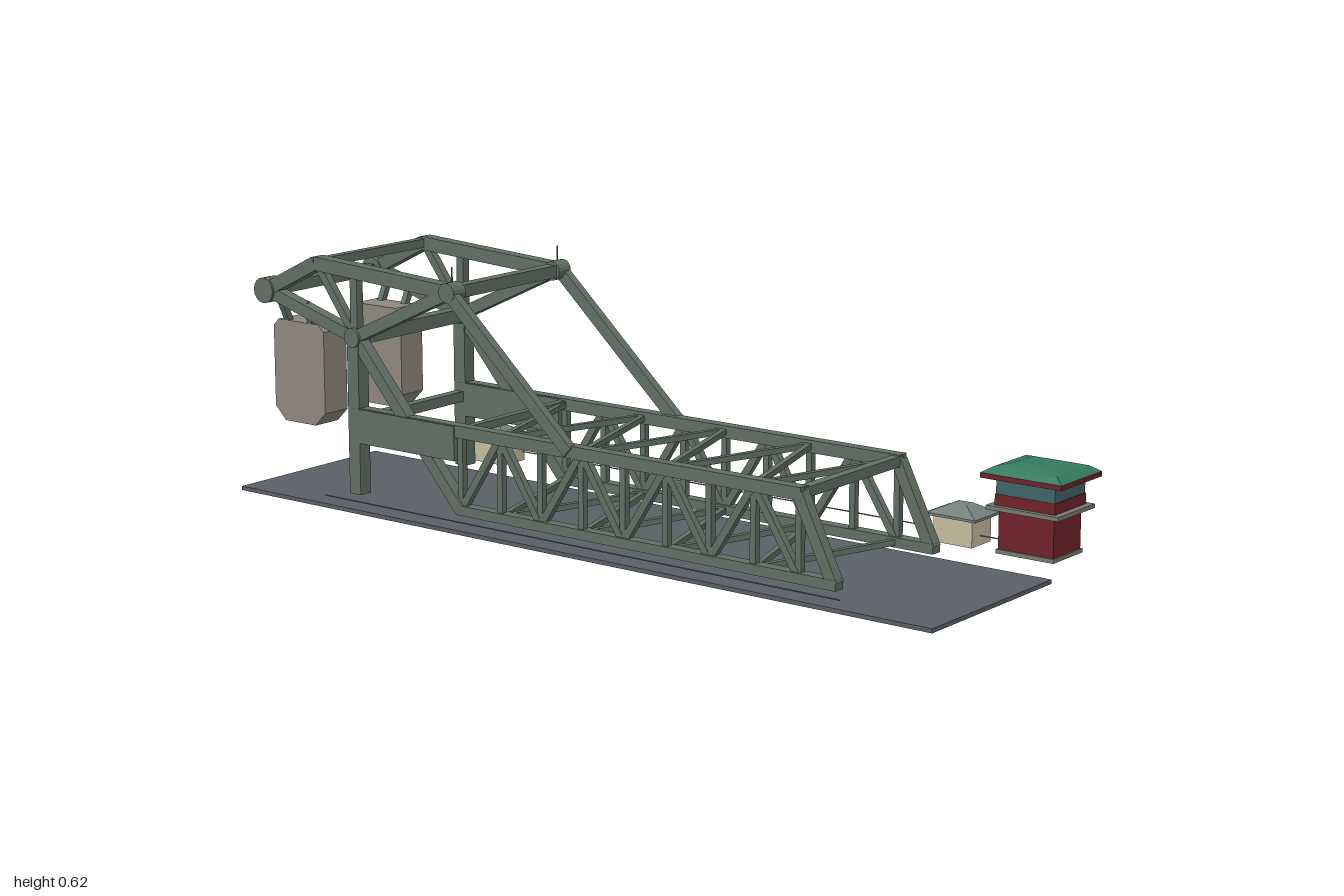
import * as THREE from 'three';

const mat = (color) => new THREE.MeshStandardMaterial({ color, flatShading: true });
const steel = mat(0x616f64), asphalt = mat(0x5a5f66), concrete = mat(0x8f877c), red = mat(0x6e2228);
const copper = mat(0x34795f), glass = mat(0x3f6468), plaster = mat(0xc6bc9e), slate = mat(0x73807a), trim = mat(0x777a70);

const V = (x, y, z) => new THREE.Vector3(x, y, z);

function add(parent, name, geometry, material, x = 0, y = 0, z = 0) {
  const m = new THREE.Mesh(geometry, material);
  m.name = name;
  m.position.set(x, y, z);
  parent.add(m);
  return m;
}

// Box given by its bottom height and top height
function block(parent, name, material, x, z, length, width, y0, y1) {
  return add(parent, name, new THREE.BoxGeometry(length, y1 - y0, width), material, x, (y0 + y1) / 2, z);
}

// Straight steel member between two points
function beam(parent, name, a, b, h = 0.03, w = h) {
  const d = b.clone().sub(a), dir = d.clone().normalize();
  const ref = Math.abs(dir.y) > 0.99 ? V(1, 0, 0) : V(0, 1, 0);
  const side = dir.clone().cross(ref).normalize();
  const m = add(parent, name, new THREE.BoxGeometry(d.length(), h, w), steel);
  m.applyMatrix4(new THREE.Matrix4().makeBasis(dir, side.clone().cross(dir), side));
  m.position.copy(a).lerp(b, 0.5);
  return m;
}

// Hipped roof: four-sided frustum stretched to a rectangle
function hip(parent, name, material, x, z, length, width, y0, y1, top) {
  const g = new THREE.CylinderGeometry(Math.SQRT1_2 * top, Math.SQRT1_2, y1 - y0, 4, 1);
  g.rotateY(Math.PI / 4);
  g.scale(length, 1, width);
  return add(parent, name, g, material, x, (y0 + y1) / 2, z);
}

const MID = 0.027, HALF = 0.195;
const LOW = 0.03, HIGH = 0.222, START = -0.43, END = 0.555, PANELS = 8;
const step = (END - START) / PANELS;
// Joints of the lifting frame, as [along, height]
const A = [-1.06, 0.495], B = [-0.89, 0.58], C = [-0.455, 0.555], D = [-0.765, 0.41], E = [-0.09, HIGH];

function sideFrame(z, s) {
  const g = new THREE.Group();
  g.name = s > 0 ? 'rightSideFrame' : 'leftSideFrame';
  const p = (x, y) => V(x, y, z);
  const j = (q) => p(q[0], q[1]);

  // Span truss
  beam(g, 'topChord', p(-0.77, HIGH), p(END + 0.01, HIGH), 0.03);
  beam(g, 'bottomChord', p(START - 0.01, LOW), p(0.66, LOW), 0.024, 0.03);
  beam(g, 'endPost', p(END, HIGH), p(0.65, LOW), 0.028);
  for (let i = 0; i <= PANELS; i++) {
    const x = START + i * step;
    beam(g, 'webPost', p(x, LOW), p(x, HIGH), 0.016);
    if (i === PANELS) break;
    const up = i % 2 === 0;
    beam(g, 'webDiagonal', p(x, up ? LOW : HIGH), p(x + step, up ? HIGH : LOW), 0.018);
  }

  // Tower and plate girder
  block(g, 'towerColumn', steel, D[0], z, 0.036, 0.036, 0.02, 0.42);
  block(g, 'plateGirder', steel, -0.605, z, 0.33, 0.038, 0.15, 0.235);
  beam(g, 'towerBrace', j(D), p(START, LOW), 0.03);

  // Lifting frame
  beam(g, 'tailChord', j(A), j(B), 0.034);
  beam(g, 'upperChord', j(B), j(C), 0.034);
  beam(g, 'tailStrut', j(A), j(D), 0.03);
  beam(g, 'frontStrut', j(D), j(C), 0.03);
  beam(g, 'framePost', j(D), p(D[0], 0.572), 0.022);
  beam(g, 'frameDiagonal', j(D), j(B), 0.02);
  beam(g, 'operatingLink', V(C[0], C[1], z + s * 0.01), V(E[0], E[1], z + s * 0.01), 0.03, 0.022);
  for (const [q, r] of [[A, 0.032], [C, 0.024], [D, 0.024]]) {
    const pin = add(g, 'jointPin', new THREE.CylinderGeometry(r, r, 0.044, 16), steel, q[0], q[1], z);
    pin.rotation.x = Math.PI / 2;
  }
  add(g, 'lampMast', new THREE.CylinderGeometry(0.002, 0.002, 0.06, 6), steel, C[0], 0.585, z);

  // Counterweight with clipped corners, hung inside the frame
  const l = 0.085, h = 0.128, c = 0.034;
  const pts = [[-l + c, -h], [l - c, -h], [l, -h + c], [l, h - c / 2], [l - c / 2, h], [-l + c / 2, h], [-l, h - c / 2], [-l, -h + c]];
  const shape = new THREE.Shape(pts.map((q) => new THREE.Vector2(q[0], q[1])));
  const weight = new THREE.ExtrudeGeometry(shape, { depth: 0.08, bevelEnabled: false });
  add(g, 'counterweight', weight, concrete, -0.978, 0.292, z - s * 0.055 - 0.04);
  for (const x of [-1.02, -0.94]) beam(g, 'hanger', V(x, 0.41, z - s * 0.03), V(x, 0.475, z), 0.016);
  return g;
}

function hut(name, x, z) {
  const g = new THREE.Group();
  g.name = name;
  block(g, 'hutWalls', plaster, x, z, 0.105, 0.082, 0.02, 0.086);
  block(g, 'hutEaves', slate, x, z, 0.136, 0.107, 0.084, 0.09);
  hip(g, 'hutRoof', slate, x, z, 0.13, 0.102, 0.09, 0.112, 0.3);
  return g;
}

export function createModel() {
  const root = new THREE.Group();
  root.name = 'basculeBridge';
  const g = new THREE.Group();
  g.name = 'bridgeSite';
  g.rotation.y = -1.007;
  root.add(g);

  block(g, 'roadway', asphalt, -0.053, 0.081, 2.04, 0.486, 0, 0.01);

  // Two mirrored side frames
  for (const s of [1, -1]) g.add(sideFrame(MID + s * HALF, s));

  // Cross beams between the sides
  const cross = (name, x, y, t) => beam(g, name, V(x, y, MID - HALF), V(x, y, MID + HALF), t);
  cross('tailCrossBeam', A[0], A[1], 0.028);
  cross('upperCrossBeam', B[0], B[1], 0.022);
  cross('towerCrossBeam', D[0], D[1], 0.034);
  cross('headCrossBeam', C[0], C[1], 0.03);
  cross('girderCrossBeam', D[0], 0.2, 0.026);
  cross('portalBeam', END, HIGH, 0.024);
  cross('rearPortalBeam', START, HIGH, 0.02);

  // Zigzag lateral bracing, top and bottom
  for (let i = 0; i < PANELS; i++) {
    const s = i % 2 ? 1 : -1, x = START + i * step;
    for (const y of [HIGH, LOW]) {
      beam(g, 'lateralBrace', V(x, y, MID + s * HALF), V(x + step, y, MID - s * HALF), 0.014);
    }
  }

  // Thin guard cables beside the road
  for (const z of [0.358, -0.285]) {
    const cable = add(g, 'guardCable', new THREE.CylinderGeometry(0.0015, 0.0015, 1.51, 6), steel, 0, 0.043, z);
    cable.rotation.z = Math.PI / 2;
  }

  // Operator house
  const house = new THREE.Group();
  house.name = 'operatorHouse';
  const hx = 0.846, hz = -0.31;
  block(house, 'houseBase', trim, hx, hz, 0.152, 0.128, 0.02, 0.03);
  block(house, 'lowerWalls', red, hx, hz, 0.145, 0.12, 0.03, 0.126);
  block(house, 'balcony', trim, hx, hz, 0.19, 0.163, 0.124, 0.134);
  block(house, 'upperWalls', red, hx, hz, 0.158, 0.137, 0.134, 0.16);
  block(house, 'windowBand', glass, hx, hz, 0.154, 0.133, 0.16, 0.198);
  block(house, 'eaves', red, hx, hz, 0.212, 0.18, 0.198, 0.21);
  hip(house, 'roofSkirt', copper, hx, hz, 0.212, 0.18, 0.21, 0.224, 0.78);
  hip(house, 'roofCap', copper, hx, hz, 0.165, 0.14, 0.224, 0.233, 0.55);
  g.add(house);

  // Small huts at both ends; the rear one has a red door porch
  g.add(hut('frontHut', 0.652, -0.289));
  const rear = hut('rearHut', -0.724, -0.25);
  block(rear, 'doorPorch', red, -0.79, -0.25, 0.045, 0.028, 0.02, 0.07);
  g.add(rear);

  return root;
}
